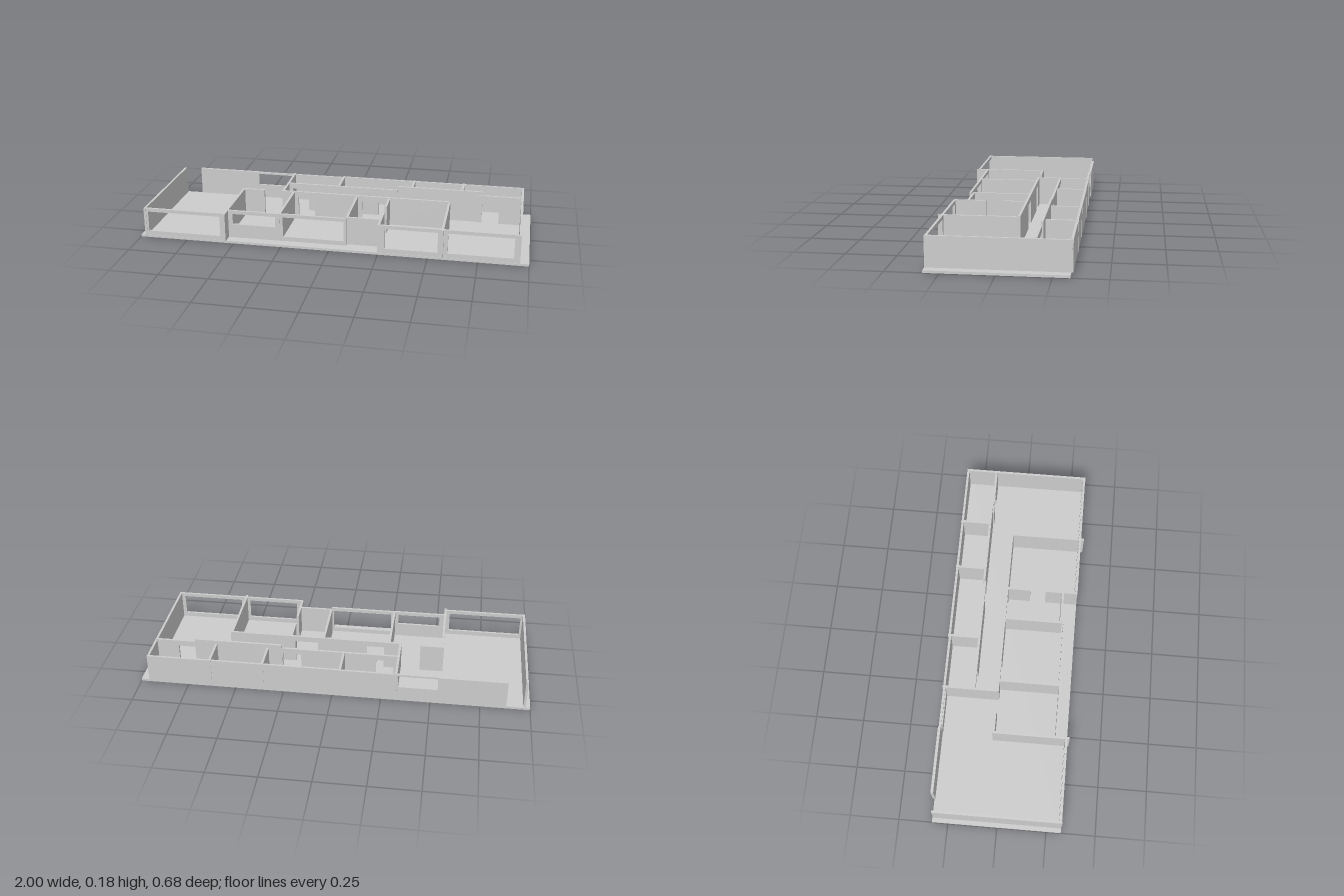
import * as THREE from 'three';

const FLOOR = 0.012; // slab thickness
const TOP = 0.16; // usual wall height
const T = 0.012; // wall thickness

export function createModel() {
  const model = new THREE.Group();
  const material = new THREE.MeshStandardMaterial({ color: 0xcccccc, flatShading: true });

  function box(parent, name, x0, x1, y0, y1, z0, z1) {
    const mesh = new THREE.Mesh(new THREE.BoxGeometry(x1 - x0, y1 - y0, z1 - z0), material);
    mesh.position.set((x0 + x1) / 2, (y0 + y1) / 2, (z0 + z1) / 2);
    mesh.name = name;
    parent.add(mesh);
  }

  // Straight wall from a to b along an axis; openings are [from, to, sill, head].
  function wall(name, axis, a, b, at, { top = TOP, openings = [], thick = T } = {}) {
    const group = new THREE.Group();
    group.name = name;
    const piece = (part, p, q, y0, y1) => {
      if (q - p < 0.001 || y1 - y0 < 0.001) return;
      const u = at - thick / 2, v = at + thick / 2;
      if (axis === 'x') box(group, part, p, q, y0, y1, u, v);
      else box(group, part, u, v, y0, y1, p, q);
    };
    let start = a;
    for (const [from, to, sill, head] of openings) {
      piece('wallPanel', start, from, FLOOR, top);
      piece('sill', from, to, FLOOR, sill);
      piece('lintel', from, to, head, top);
      start = to;
    }
    piece('wallPanel', start, b, FLOOR, top);
    model.add(group);
  }

  const windowAt = (a, b) => [a, b, 0.035, 0.142];
  const highWindow = (a, b) => [a, b, 0.085, 0.142];
  const door = (a, b) => [a, b, FLOOR, 0.135];

  box(model, 'floorSlab', -1, 1, 0, FLOOR, -0.33, 0.325);

  // Outer side walls
  wall('rightEndWall', 'z', -0.325, 0.325, -0.972);
  wall('leftEndWall', 'z', -0.335, 0.325, 0.95);

  // Back wall, open at its far right corner
  wall('backWallRight', 'x', -0.88, -0.54, -0.333, { thick: 0.014 });
  wall('backWindowWall', 'x', -0.54, -0.325, -0.33, { openings: [[-0.535, -0.335, 0.085, 0.15]] });
  wall('backWallMiddle', 'x', -0.325, -0.045, -0.331);
  wall('backWallLeft', 'x', -0.045, 0.955, -0.333, { top: 0.163 });

  // Front walls with windows
  wall('frontWallRight', 'x', -0.978, -0.54, 0.317, { openings: [windowAt(-0.955, -0.57)] });
  wall('kitchenFrontWall', 'x', -0.545, -0.265, 0.267, { openings: [highWindow(-0.515, -0.29)] });
  wall('livingFrontWall', 'x', -0.265, 0.08, 0.265, { openings: [windowAt(-0.25, 0.068)] });
  wall('entryWall', 'x', 0.08, 0.25, 0.246);
  wall('bedroomFrontWall', 'x', 0.25, 0.57, 0.317, { openings: [windowAt(0.285, 0.55)] });
  wall('frontWallLeft', 'x', 0.57, 0.955, 0.317, { openings: [windowAt(0.6, 0.925)] });

  // Cross partitions of the front rooms
  wall('kitchenPartition', 'z', -0.06, 0.333, -0.545);
  wall('livingPartition', 'z', -0.055, 0.265, -0.267);
  wall('entryPartition', 'z', -0.055, 0.25, 0.08);
  wall('bedroomPartitionBack', 'z', -0.055, 0.07, 0.253);
  wall('bedroomPartitionFront', 'z', 0.152, 0.32, 0.253);
  wall('frontRoomPartition', 'z', -0.06, 0.338, 0.572);

  // Front side of the corridor
  wall('kitchenBackWall', 'x', -0.55, -0.43, -0.056);
  wall('corridorFrontWall', 'x', -0.33, 0.575, -0.054, {
    top: 0.164, openings: [door(-0.24, -0.15), door(0.11, 0.23)],
  });

  // Back side of the corridor
  wall('corridorBackWallRight', 'x', -0.325, 0.28, -0.176, {
    top: 0.164, openings: [door(-0.3, -0.21), door(0.18, 0.275)],
  });
  wall('corridorBackWallMiddle', 'x', 0.28, 0.74, -0.18, { top: 0.184 });
  wall('corridorBackWallLeft', 'x', 0.7, 0.95, -0.174, {
    top: 0.165, openings: [door(0.74, 0.83)],
  });

  // Cross partitions of the back rooms
  wall('corridorEndPartition', 'z', -0.34, -0.05, -0.325, { top: 0.164 });
  for (const x of [-0.042, 0.355, 0.627]) {
    wall('backRoomPartition', 'z', -0.341, -0.175, x, { top: 0.165 });
  }

  return model;
}
